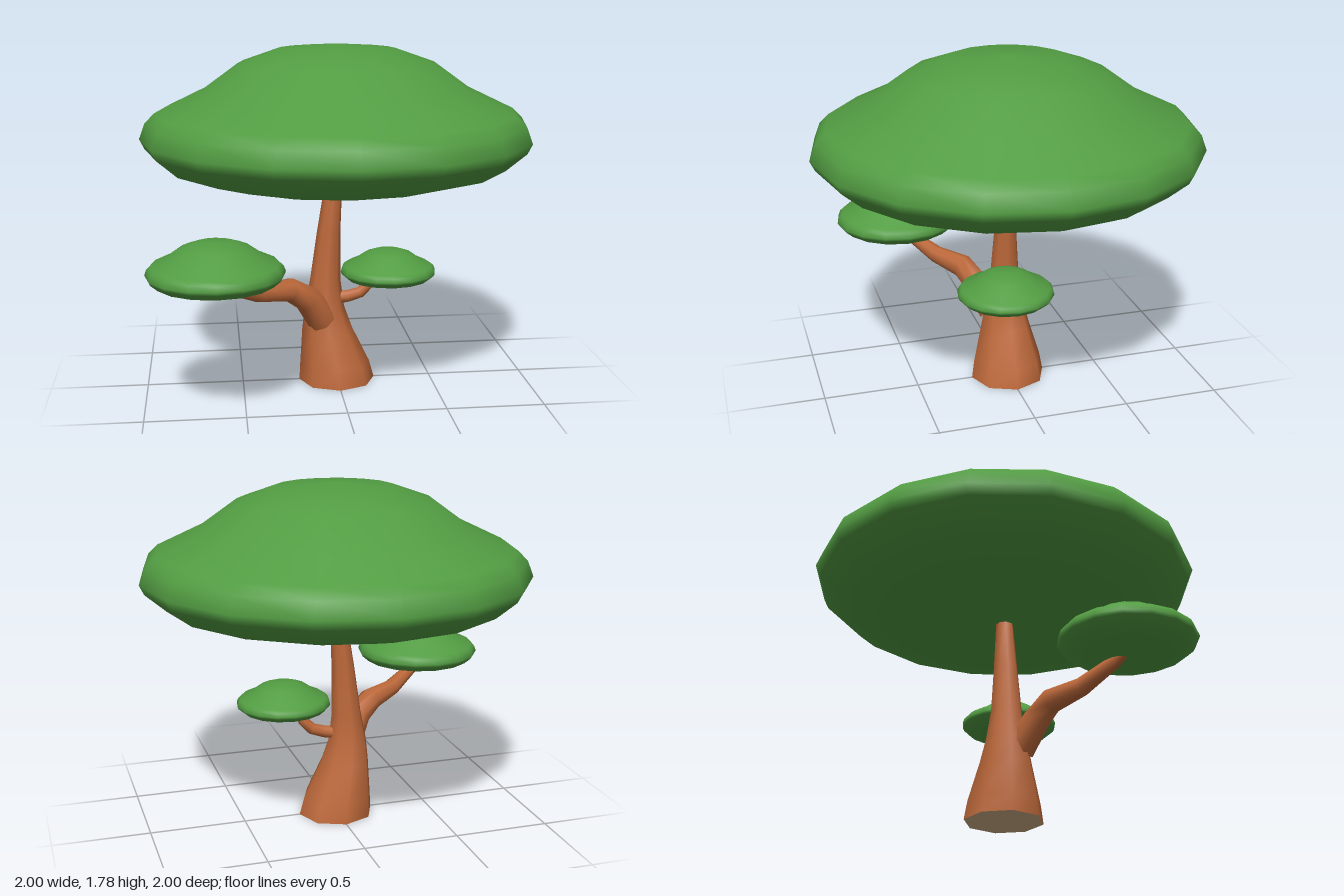
import * as THREE from 'three';

const leafGreen = new THREE.MeshStandardMaterial({ name: 'leafGreen', color: 0x529c42 });
const barkBrown = new THREE.MeshStandardMaterial({ name: 'barkBrown', color: 0xbc683a });
const cutWood = new THREE.MeshStandardMaterial({ name: 'cutWood', color: 0xcdae86 });

// Smooth tapered limb through rows of [x, y, z, radius]; level keeps rings horizontal
function limb(name, rows, sides, level) {
  const centers = rows.map(([x, y, z]) => new THREE.Vector3(x, y, z));
  const positions = [], index = [];
  const rings = rows.map((row, i) => {
    const t = level ? new THREE.Vector3(0, 1, 0)
      : centers[Math.min(i + 1, rows.length - 1)].clone().sub(centers[Math.max(i - 1, 0)]).normalize();
    const u = new THREE.Vector3(0, 0, 1).cross(t).normalize();
    const v = t.clone().cross(u);
    return Array.from({ length: sides }, (_, j) => {
      const a = (j / sides) * Math.PI * 2;
      return centers[i].clone()
        .addScaledVector(u, Math.cos(a) * row[3])
        .addScaledVector(v, Math.sin(a) * row[3]);
    });
  });
  rings.forEach(ring => ring.forEach(p => positions.push(p.x, p.y, p.z)));
  for (let i = 0; i < rows.length - 1; i++) {
    for (let j = 0; j < sides; j++) {
      const k = (j + 1) % sides;
      const a = i * sides + j, b = i * sides + k;
      index.push(a, b, b + sides, a, b + sides, a + sides);
    }
  }
  // Flat end at the root of a branch
  if (!level) {
    const start = positions.length / 3;
    [centers[0], ...rings[0]].forEach(p => positions.push(p.x, p.y, p.z));
    for (let j = 0; j < sides; j++) index.push(start, start + 1 + (j + 1) % sides, start + 1 + j);
  }
  const geometry = new THREE.BufferGeometry();
  geometry.setAttribute('position', new THREE.Float32BufferAttribute(positions, 3));
  geometry.setIndex(index);
  geometry.computeVertexNormals();
  const mesh = new THREE.Mesh(geometry, barkBrown);
  mesh.name = name;
  return mesh;
}

// Mushroom-shaped leaf crown, unit radius, standing on y = 0
const crownProfile = [
  [0, 0], [0.66, 0.05], [0.87, 0.11], [0.975, 0.2], [1, 0.25], [0.97, 0.33],
  [0.92, 0.38], [0.68, 0.495], [0.5, 0.625], [0.3, 0.695], [0, 0.72],
].map(([r, y]) => new THREE.Vector2(r, y));

function crown(name, radius, x, y, z) {
  const mesh = new THREE.Mesh(new THREE.LatheGeometry(crownProfile, 16), leafGreen);
  mesh.name = name;
  mesh.scale.setScalar(radius);
  mesh.position.set(x, y, z);
  return mesh;
}

export function createModel() {
  const tree = new THREE.Group();
  tree.name = 'tree';

  // Leaning trunk with a flared foot
  tree.add(limb('trunk', [
    [0, 0, 0, 0.2], [-0.01, 0.09, 0, 0.185], [-0.05, 0.28, 0, 0.133],
    [-0.065, 0.4, 0, 0.105], [-0.06, 0.55, 0, 0.08],
    [-0.042, 0.8, 0, 0.062], [-0.012, 1.1, 0, 0.043],
  ], 8, true));
  const base = new THREE.Mesh(new THREE.CircleGeometry(0.2, 8), cutWood);
  base.name = 'trunkBase';
  base.rotation.x = Math.PI / 2;
  tree.add(base);

  // Branches
  tree.add(limb('largeBranch', [
    [-0.085, 0.35, 0.06, 0.078], [-0.165, 0.485, 0.13, 0.072], [-0.26, 0.55, 0.18, 0.062],
    [-0.42, 0.568, 0.29, 0.046], [-0.59, 0.64, 0.41, 0.032], [-0.63, 0.67, 0.44, 0.028],
  ], 8, false));
  tree.add(limb('smallBranch', [
    [-0.02, 0.445, 0, 0.036], [0.06, 0.455, 0.005, 0.033], [0.125, 0.475, 0.01, 0.031],
    [0.175, 0.525, 0.015, 0.026], [0.2, 0.585, 0.025, 0.02],
  ], 8, false));

  // Crowns
  tree.add(crown('mainCrown', 1, 0, 1.06, 0));
  tree.add(crown('largeBranchCrown', 0.338, -0.635, 0.643, 0.46));
  tree.add(crown('smallBranchCrown', 0.248, 0.26, 0.548, 0.085));
  return tree;
}
